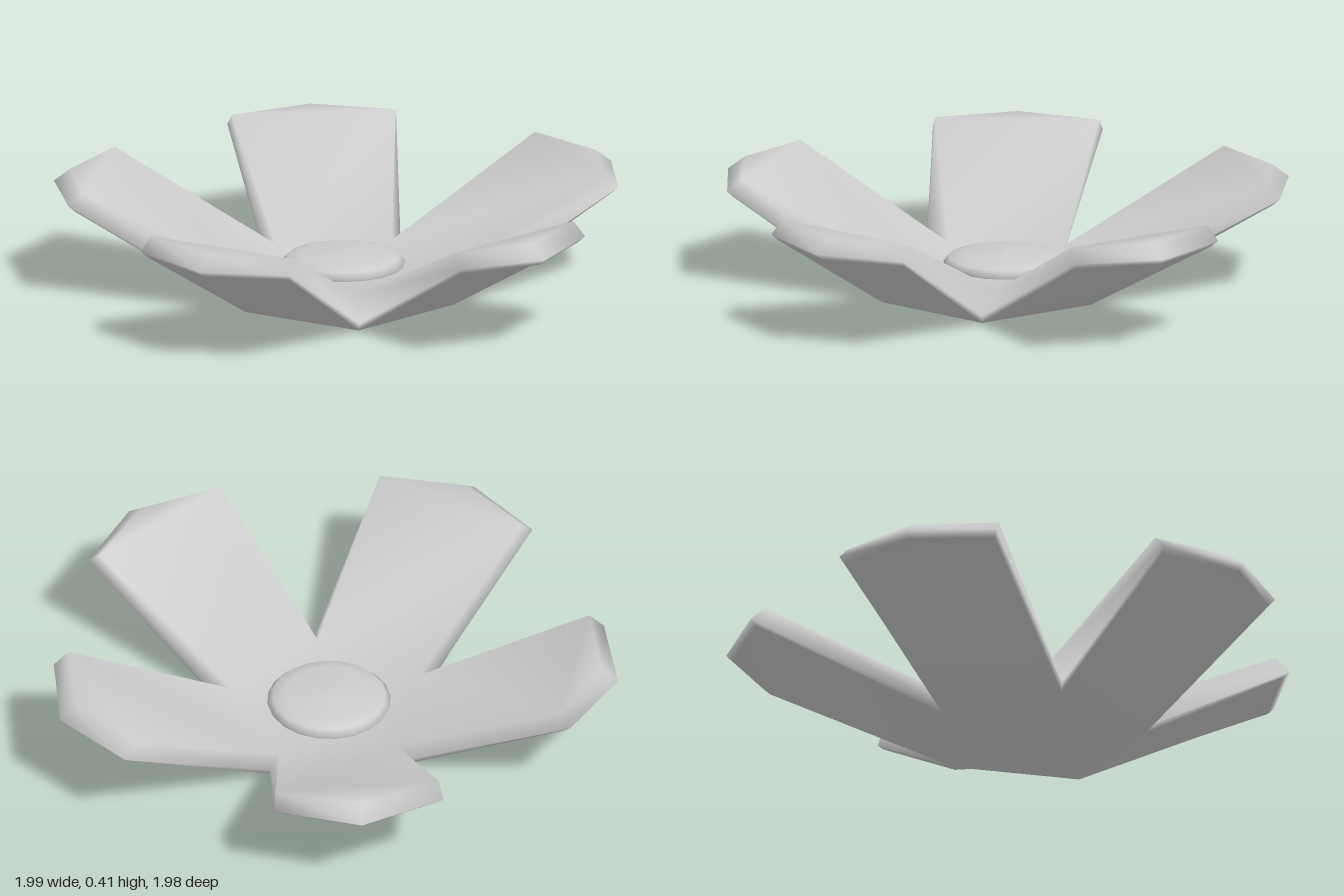
import * as THREE from 'three';
import { mergeVertices } from 'three/addons/utils/BufferGeometryUtils.js';

const PETALS = 5;
const STEP = (Math.PI * 2) / PETALS;
const RIM_Z = 0.053;

// One level of the flower outline: a five-sided floor with a pointed petal on each side.
function petalLoop({ floorZ, floorR, floorY, cornerR, tipR, halfWidth, rimY }) {
  const valley = (a) => [floorR * Math.sin(a), floorY, floorZ - floorR * Math.cos(a)];
  const outer = (a, r, side) => [
    r * Math.sin(a) + side * Math.cos(a), rimY,
    RIM_Z - r * Math.cos(a) + side * Math.sin(a),
  ];
  const petals = [];
  for (let i = 0; i < PETALS; i++) {
    const a = i * STEP;
    petals.push([
      valley(a - STEP / 2),
      outer(a, cornerR, -halfWidth),
      outer(a, tipR, 0),
      outer(a, cornerR, halfWidth),
      valley(a + STEP / 2),
    ]);
  }
  return { centre: [0, floorY, floorZ], petals };
}

function flowerGeometry() {
  // Underside, widest line of the rounded rim, and top side
  const lower = petalLoop({
    floorZ: 0.11, floorR: 0.39, floorY: 0,
    cornerR: 0.915, tipR: 1.025, halfWidth: 0.288, rimY: 0.338,
  });
  const middle = petalLoop({
    floorZ: 0.11, floorR: 0.408, floorY: 0.03,
    cornerR: 0.935, tipR: 1.048, halfWidth: 0.302, rimY: 0.36,
  });
  const upper = petalLoop({
    floorZ: 0.055, floorR: 0.355, floorY: 0.108,
    cornerR: 0.885, tipR: 0.988, halfWidth: 0.292, rimY: 0.408,
  });
  const pos = [];
  const tri = (a, b, c) => pos.push(...a, ...b, ...c);

  for (let i = 0; i < PETALS; i++) {
    const p = lower.petals[i], q = upper.petals[i];
    // Both skins: floor wedge, petal blade and pointed end
    tri(lower.centre, p[0], p[4]);
    tri(upper.centre, q[4], q[0]);
    for (const [a, b, c] of [[0, 1, 3], [0, 3, 4], [1, 2, 3]]) {
      tri(p[a], p[b], p[c]);
      tri(q[c], q[b], q[a]);
    }
    // Rounded rim joining the two skins
    for (const [s, t] of [[p, middle.petals[i]], [middle.petals[i], q]]) {
      for (let k = 0; k < 4; k++) {
        tri(s[k], t[k], t[k + 1]);
        tri(s[k], t[k + 1], s[k + 1]);
      }
    }
  }
  const geo = new THREE.BufferGeometry();
  geo.setAttribute('position', new THREE.Float32BufferAttribute(pos, 3));
  const smooth = mergeVertices(geo, 1e-4);
  smooth.computeVertexNormals();
  return smooth;
}

export function createModel() {
  const group = new THREE.Group();
  group.name = 'flower';
  const material = new THREE.MeshStandardMaterial({ color: 0xcccccc });

  // Five-petal cup
  const petals = new THREE.Mesh(flowerGeometry(), material);
  petals.name = 'petals';
  group.add(petals);

  // Low domed button in the middle
  const profile = [
    [0, 0.08], [0.2, 0.08], [0.22, 0.118], [0.2, 0.138], [0.15, 0.153], [0, 0.165],
  ].map(([x, y]) => new THREE.Vector2(x, y));
  const button = new THREE.Mesh(new THREE.LatheGeometry(profile, 20), material);
  button.name = 'flowerCentre';
  button.position.z = 0.047;
  group.add(button);

  return group;
}
